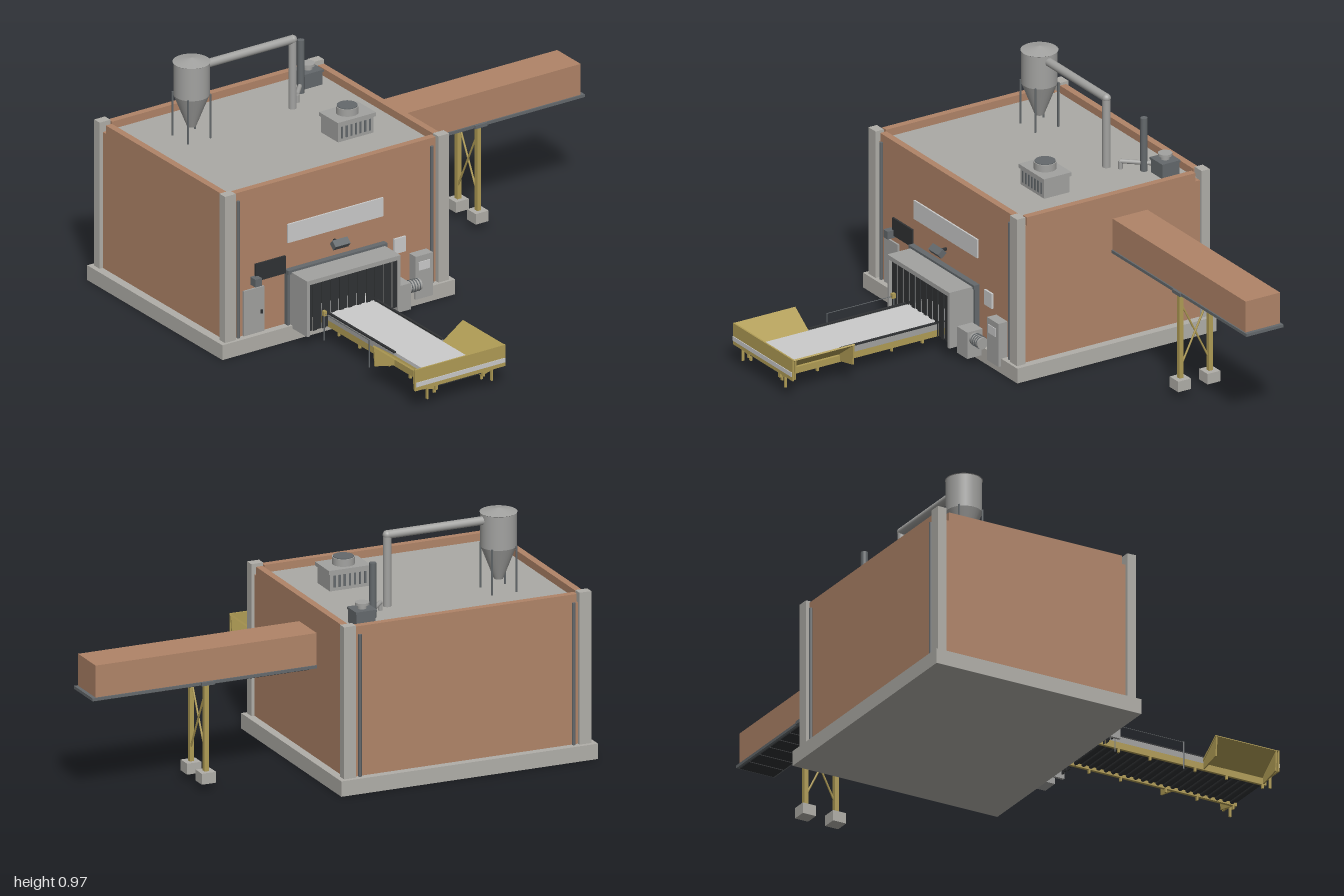
import * as THREE from 'three';

const mat = (name, color, side = THREE.FrontSide) => {
  const m = new THREE.MeshStandardMaterial({ color, side });
  m.name = name;
  return m;
};

export function createModel() {
  const concrete = mat('concrete', 0xb0aea8);
  const roofGrey = mat('roof grey', 0xabaaa5);
  const brick = mat('brick cladding', 0xb08468);
  const steel = mat('steel', 0xa2a2a0);
  const light = mat('light grey', 0xcbcbcb);
  const dark = mat('charcoal', 0x303234);
  const slate = mat('slate', 0x64696c);
  const yellow = mat('safety yellow', 0xb09c55, THREE.DoubleSide);

  const model = new THREE.Group();
  model.name = 'factoryBuilding';
  const group = (name) => {
    const g = new THREE.Group();
    g.name = name;
    model.add(g);
    return g;
  };
  const add = (parent, name, geo, m, x = 0, y = 0, z = 0) => {
    const mesh = new THREE.Mesh(geo, m);
    mesh.name = name;
    mesh.position.set(x, y, z);
    parent.add(mesh);
    return mesh;
  };
  // Box given by its lower and upper limits on each axis
  const box = (p, name, m, x0, x1, y0, y1, z0, z1) =>
    add(p, name, new THREE.BoxGeometry(x1 - x0, y1 - y0, z1 - z0), m, (x0 + x1) / 2, (y0 + y1) / 2, (z0 + z1) / 2);
  // Upright cylinder from y0 to y1
  const cyl = (p, name, m, x, z, y0, y1, r, seg = 20) =>
    add(p, name, new THREE.CylinderGeometry(r, r, y1 - y0, seg), m, x, (y0 + y1) / 2, z);
  // Round bar between two points
  const bar = (p, name, m, a, b, r, seg = 16) => {
    const A = new THREE.Vector3(...a), B = new THREE.Vector3(...b);
    const mesh = add(p, name, new THREE.CylinderGeometry(r, r, A.distanceTo(B), seg), m);
    mesh.position.copy(A).lerp(B, 0.5);
    mesh.quaternion.setFromUnitVectors(new THREE.Vector3(0, 1, 0), B.sub(A).normalize());
    return mesh;
  };

  // Building shell
  const shell = group('building');
  box(shell, 'foundation', concrete, -1, 0.083, 0, 0.062, -0.865, 0.045);
  box(shell, 'walls', brick, -0.965, 0.05, 0.06, 0.632, -0.833, 0.015);
  box(shell, 'roof', roofGrey, -0.94, 0.025, 0.63, 0.636, -0.81, -0.01);
  for (const [z0, z1] of [[-0.833, -0.805], [-0.013, 0.015]])
    box(shell, 'parapet', brick, -0.925, 0.012, 0.625, 0.667, z0, z1);
  for (const [x0, x1] of [[-0.965, -0.937], [0.022, 0.05]])
    box(shell, 'parapet', brick, x0, x1, 0.625, 0.667, -0.79, -0.02);
  for (const [x0, x1] of [[-0.98, -0.93], [0.013, 0.063]])
    for (const [z0, z1] of [[-0.847, -0.81], [-0.005, 0.033]])
      box(shell, 'cornerPillar', concrete, x0, x1, 0.06, 0.675, z0, z1);
  for (const x of [-0.91, -0.008])
    for (const z of [0.02, -0.838]) cyl(shell, 'downpipe', slate, x, z, 0.06, 0.635, 0.007, 10);

  // Front wall fittings
  const front = group('frontFittings');
  box(front, 'signPanel', light, -0.68, -0.235, 0.4, 0.478, 0.014, 0.022);
  box(front, 'noticeBoard', dark, -0.83, -0.69, 0.277, 0.35, 0.014, 0.023);
  box(front, 'wallLamp', slate, -0.85, -0.82, 0.268, 0.3, 0.014, 0.05);
  box(front, 'door', steel, -0.885, -0.79, 0.062, 0.25, 0.014, 0.023);
  box(front, 'doorHandle', dark, -0.808, -0.8, 0.14, 0.155, 0.022, 0.03);
  box(front, 'smallPanel', light, -0.185, -0.13, 0.227, 0.29, 0.014, 0.023);
  const lamp = box(front, 'floodlight', slate, -0.495, -0.425, 0.343, 0.369, 0.042, 0.072);
  lamp.rotation.x = 0.7;
  box(front, 'floodlightArm', dark, -0.465, -0.455, 0.35, 0.36, 0.01, 0.055);

  // Loading hood with strip curtain
  const hood = group('loadingHood');
  box(hood, 'hoodRoof', steel, -0.675, -0.24, 0.265, 0.283, 0.014, 0.145);
  for (const x of [-0.675, -0.252]) box(hood, 'hoodSide', steel, x, x + 0.012, 0.05, 0.266, 0.014, 0.145);
  box(hood, 'hoodFlashing', slate, -0.69, -0.228, 0.275, 0.292, 0.014, 0.04);
  for (const x of [-0.69, -0.24]) box(hood, 'frameEdge', slate, x, x + 0.012, 0.06, 0.29, 0.014, 0.035);
  box(hood, 'opening', dark, -0.665, -0.25, 0.06, 0.266, 0.016, 0.024);
  for (let i = 0; i < 20; i++) {
    const x = -0.662 + i * 0.0206;
    box(hood, 'curtainStrip', dark, x, x + 0.0185, i > 4 && i < 15 ? 0.12 : 0.065, 0.265, 0.128 + (i % 2) * 0.005, 0.132 + (i % 2) * 0.005);
  }

  // Infeed conveyor
  const feed = group('infeedConveyor');
  box(feed, 'belt', light, -0.558, -0.35, 0.098, 0.113, 0.03, 0.852);
  box(feed, 'beltUnderside', dark, -0.555, -0.353, 0.075, 0.098, 0.03, 0.85);
  for (let i = 0; i < 24; i++) {
    const z = 0.07 + i * 0.033;
    bar(feed, 'roller', dark, [-0.555, 0.074, z], [-0.353, 0.074, z], 0.009, 8);
  }
  for (const x of [-0.57, -0.35]) {
    box(feed, 'sideFrame', yellow, x, x + 0.012, 0.063, 0.09, 0.05, 0.855);
    box(feed, 'sideRail', steel, x, x + 0.012, 0.09, 0.114, 0.05, 0.575);
    box(feed, 'sideGuard', dark, x + 0.001, x + 0.011, 0.113, 0.12, 0.1, 0.575);
    for (const z of [0.2, 0.34, 0.54, 0.68, 0.84]) box(feed, 'foot', yellow, x, x + 0.01, 0.048, 0.065, z - 0.004, z + 0.004);
  }
  // Flared hopper wings and end board
  for (const s of [-1, 1]) {
    const wing = new THREE.Shape();
    wing.moveTo(s * 0.105, 0.1);
    wing.lineTo(s * 0.208, 0.172);
    wing.lineTo(s * 0.212, 0.167);
    wing.lineTo(s * 0.109, 0.092);
    add(feed, 'hopperWing', new THREE.ExtrudeGeometry(wing, { depth: 0.28, bevelEnabled: false }), yellow, -0.455, 0, 0.573);
    const gusset = new THREE.Shape();
    gusset.moveTo(s * 0.109, 0.092);
    gusset.lineTo(s * 0.211, 0.167);
    gusset.lineTo(s * 0.206, 0.085);
    gusset.lineTo(s * 0.109, 0.065);
    for (const z of [0.575, 0.84])
      add(feed, 'wingGusset', new THREE.ExtrudeGeometry(gusset, { depth: 0.006, bevelEnabled: false }), yellow, -0.455, 0, z);
    box(feed, 'hopperFoot', yellow, -0.458 + s * 0.15, -0.452 + s * 0.15, 0.035, 0.09, 0.845, 0.855);
  }
  box(feed, 'endBoard', yellow, -0.665, -0.245, 0.083, 0.172, 0.85, 0.857);
  box(feed, 'endStripe', light, -0.662, -0.248, 0.1, 0.118, 0.856, 0.86);

  // Emergency pull cord
  const cord = group('pullCord');
  for (const z of [0.16, 0.465]) bar(cord, 'cordPost', slate, [-0.607, 0.025, z], [-0.607, 0.14, z], 0.003, 6);
  bar(cord, 'cord', slate, [-0.607, 0.138, 0.16], [-0.607, 0.138, 0.465], 0.0015, 6);
  box(cord, 'cordSwitch', yellow, -0.614, -0.6, 0.13, 0.15, 0.155, 0.17);

  // Drive unit and control cabinet
  const drive = group('driveUnit');
  box(drive, 'gearbox', steel, -0.24, -0.168, 0.025, 0.135, 0.04, 0.11);
  bar(drive, 'motor', steel, [-0.17, 0.104, 0.078], [-0.108, 0.104, 0.078], 0.024);
  for (let i = 0; i < 4; i++)
    bar(drive, 'motorFin', slate, [-0.156 + i * 0.012, 0.104, 0.078], [-0.152 + i * 0.012, 0.104, 0.078], 0.026);
  box(drive, 'controlCabinet', steel, -0.11, -0.03, 0.03, 0.21, 0.014, 0.058);
  box(drive, 'cabinetDisplay', light, -0.097, -0.045, 0.15, 0.185, 0.057, 0.061);

  // Cyclone dust collector with its duct
  const cyclone = group('cyclone');
  const profile = [[0, 0.682], [0.018, 0.682], [0.07, 0.815], [0.07, 0.95], [0.073, 0.952], [0, 0.968]];
  for (let i = 0; i < profile.length - 1; i++) {
    const section = profile.slice(i, i + 2).map(([r, y]) => new THREE.Vector2(r, y));
    add(cyclone, 'cycloneSection', new THREE.LatheGeometry(section, 28), steel, -0.715, 0, -0.575);
  }
  for (const sx of [-1, 1])
    for (const sz of [-1, 1])
      cyl(cyclone, 'cycloneLeg', slate, -0.715 + sx * 0.052, -0.575 + sz * 0.052, 0.635, 0.82, 0.004, 8);
  bar(cyclone, 'ductRun', steel, [-0.66, 0.924, -0.575], [-0.245, 0.924, -0.575], 0.017);
  add(cyclone, 'ductElbow', new THREE.SphereGeometry(0.0175, 16, 12), steel, -0.245, 0.924, -0.575);
  cyl(cyclone, 'ductDrop', steel, -0.245, -0.575, 0.635, 0.924, 0.016);

  // Rooftop air handler
  const air = group('airHandler');
  box(air, 'airHandlerBody', steel, -0.285, -0.12, 0.635, 0.705, -0.325, -0.21);
  box(air, 'airHandlerLid', steel, -0.291, -0.113, 0.705, 0.721, -0.331, -0.204);
  for (let i = 0; i < 7; i++) {
    const x = -0.272 + i * 0.0215;
    box(air, 'louvre', slate, x, x + 0.008, 0.65, 0.698, -0.211, -0.207);
    box(air, 'louvre', slate, x, x + 0.008, 0.65, 0.698, -0.328, -0.324);
  }
  cyl(air, 'fanCowl', steel, -0.203, -0.268, 0.72, 0.75, 0.044, 28);
  cyl(air, 'fanGrille', slate, -0.203, -0.268, 0.749, 0.753, 0.04, 28);

  // Rooftop exhaust fan, stack and link duct
  const exhaust = group('exhaust');
  box(exhaust, 'fanBox', slate, -0.108, -0.027, 0.635, 0.695, -0.766, -0.69);
  box(exhaust, 'fanBoxLid', slate, -0.112, -0.023, 0.69, 0.699, -0.77, -0.686);
  cyl(exhaust, 'fanNeck', steel, -0.068, -0.728, 0.695, 0.715, 0.018);
  cyl(exhaust, 'fanCap', steel, -0.068, -0.728, 0.714, 0.724, 0.028);
  cyl(exhaust, 'stack', slate, -0.137, -0.676, 0.635, 0.857, 0.014);
  bar(exhaust, 'linkDuct', steel, [-0.2, 0.668, -0.61], [-0.1, 0.668, -0.72], 0.009, 12);
  cyl(exhaust, 'linkDuctDrop', steel, -0.2, -0.61, 0.635, 0.668, 0.009, 12);

  // Enclosed gallery on a braced trestle
  const gallery = group('gallery');
  box(gallery, 'galleryBody', brick, 0.045, 0.983, 0.437, 0.567, -0.57, -0.412);
  box(gallery, 'galleryFloor', slate, 0.05, 0.998, 0.426, 0.438, -0.575, -0.406);
  for (let i = 0; i < 12; i++) {
    const x = 0.08 + i * 0.076;
    box(gallery, 'floorPanel', dark, x, x + 0.07, 0.421, 0.427, -0.565, -0.416);
  }
  box(gallery, 'trestleBeam', slate, 0.485, 0.54, 0.424, 0.438, -0.582, -0.4);
  for (const z of [-0.555, -0.421]) {
    box(gallery, 'trestleLeg', yellow, 0.502, 0.52, 0.06, 0.426, z - 0.009, z + 0.009);
    box(gallery, 'footing', concrete, 0.481, 0.541, 0.028, 0.072, z - 0.029, z + 0.029);
  }
  bar(gallery, 'brace', yellow, [0.508, 0.12, -0.555], [0.508, 0.39, -0.421], 0.004, 8);
  bar(gallery, 'brace', yellow, [0.514, 0.12, -0.421], [0.514, 0.39, -0.555], 0.004, 8);

  return model;
}
